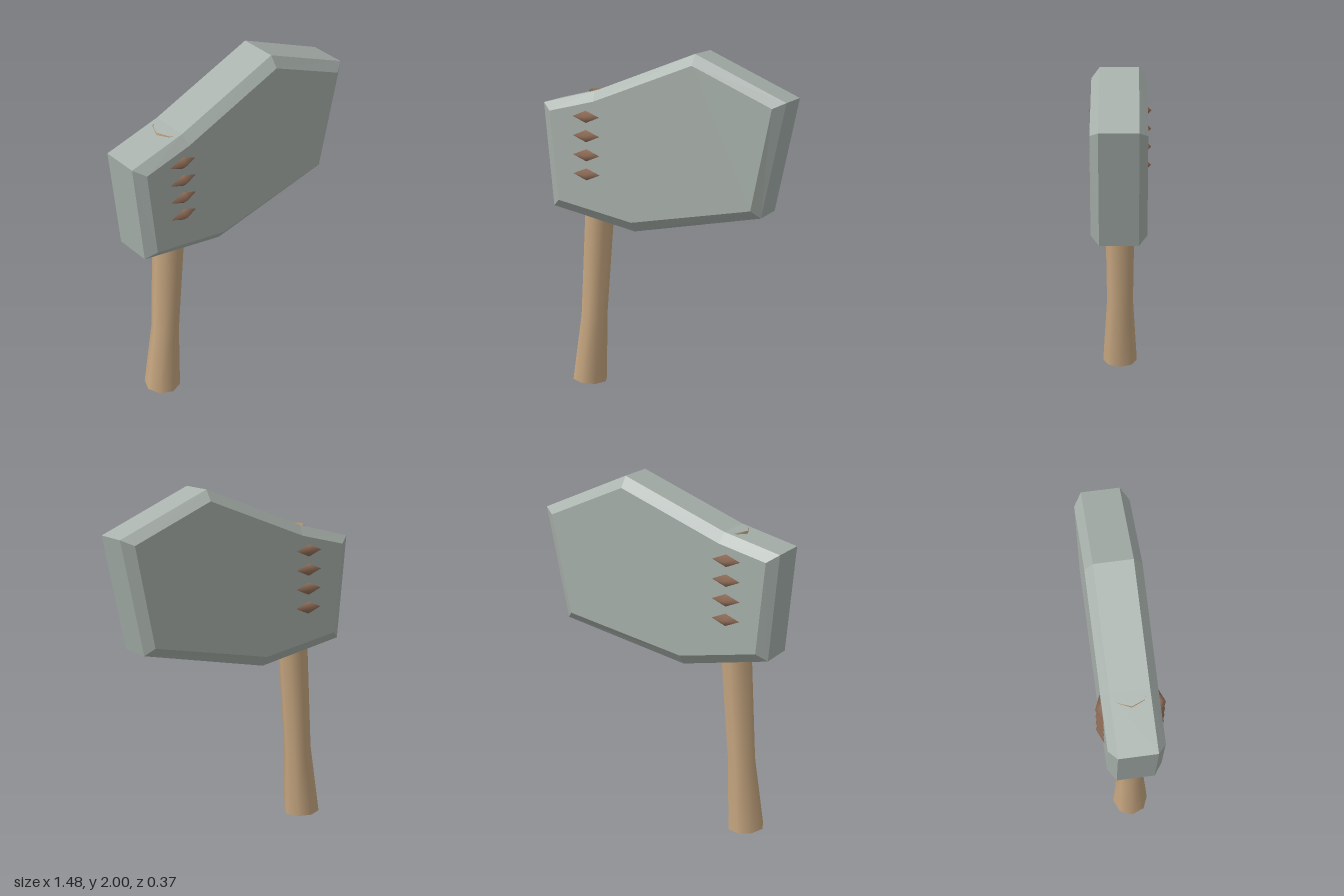
import * as THREE from 'three';

const stone = new THREE.MeshStandardMaterial({ color: 0xa8b1ac });
stone.name = 'grey stone';
stone.flatShading = true;
const wood = new THREE.MeshStandardMaterial({ color: 0xc6a680, side: THREE.DoubleSide });
wood.name = 'pale wood';
const leather = new THREE.MeshStandardMaterial({ color: 0x93705a });
leather.name = 'brown leather';

// Joins equal-length rings of Vector3 points with quads, without end caps
function loft(rings) {
  const n = rings[0].length, index = [];
  for (let k = 0; k < rings.length - 1; k++) {
    for (let i = 0; i < n; i++) {
      const j = (i + 1) % n;
      const a = k * n + i, b = k * n + j, c = a + n, d = b + n;
      index.push(a, b, d, a, d, c);
    }
  }
  const geometry = new THREE.BufferGeometry().setFromPoints(rings.flat());
  geometry.setIndex(index);
  return geometry;
}

// Slab with a bevelled rim: small face outline, wide rim outline
function createHead() {
  // counter-clockwise seen from the front
  const rim = [[-0.74, 1.68], [-0.685, 1.08], [-0.165, 0.975], [0.60, 1.125],
    [0.735, 1.765], [0.205, 2.0], [-0.41, 1.763]];
  const face = [[-0.68, 1.64], [-0.63, 1.125], [-0.165, 1.035], [0.555, 1.17],
    [0.67, 1.735], [0.205, 1.94], [-0.40, 1.708]];
  const ring = (outline, z) => outline.map(([x, y]) => new THREE.Vector3(x, y, z));
  const indexed = loft([ring(face, -0.15), ring(rim, -0.105), ring(rim, 0.105), ring(face, 0.15)]);
  const index = Array.from(indexed.index.array);

  // front and back faces
  const n = face.length;
  const outline = face.map(([x, y]) => new THREE.Vector2(x, y));
  for (const [a, b, c] of THREE.ShapeUtils.triangulateShape(outline, [])) {
    index.push(3 * n + a, 3 * n + b, 3 * n + c, c, b, a);
  }
  indexed.setIndex(index);
  const geometry = indexed.toNonIndexed();
  geometry.computeVertexNormals();
  const head = new THREE.Mesh(geometry, stone);
  head.name = 'head';
  return head;
}

// Open eight-sided shaft, leaning slightly and flared at the grip end
function createHandle() {
  const sections = [[-0.52, 0.012, 0.105], [-0.485, 0.42, 0.08],
    [-0.443, 1.03, 0.088], [-0.396, 1.75, 0.1]];
  const lean = 0.07, sides = 8;
  const rings = sections.map(([cx, cy, r]) => Array.from({ length: sides }, (_, i) => {
    const t = -i / sides * Math.PI * 2;
    const dx = r * Math.cos(t);
    return new THREE.Vector3(cx + dx, cy - dx * lean, r * Math.sin(t));
  }));
  const geometry = loft(rings);
  geometry.computeVertexNormals();
  const handle = new THREE.Mesh(geometry, wood);
  handle.name = 'handle';
  return handle;
}

// Four angular rings whose outer edges break through both faces of the head
function createBindings() {
  const bindings = new THREE.Group();
  bindings.name = 'bindings';
  const geometry = new THREE.TorusGeometry(0.149, 0.036, 4, 8).rotateX(Math.PI / 2);
  for (let i = 0; i < 4; i++) {
    const binding = new THREE.Mesh(geometry, leather);
    binding.name = 'binding' + (i + 1);
    binding.position.set(-0.446, 1.29 + i * 0.11, 0);
    bindings.add(binding);
  }
  return bindings;
}

export function createModel() {
  const model = new THREE.Group();
  model.name = 'stoneHammer';
  model.add(createHead(), createHandle(), createBindings());
  return model;
}
